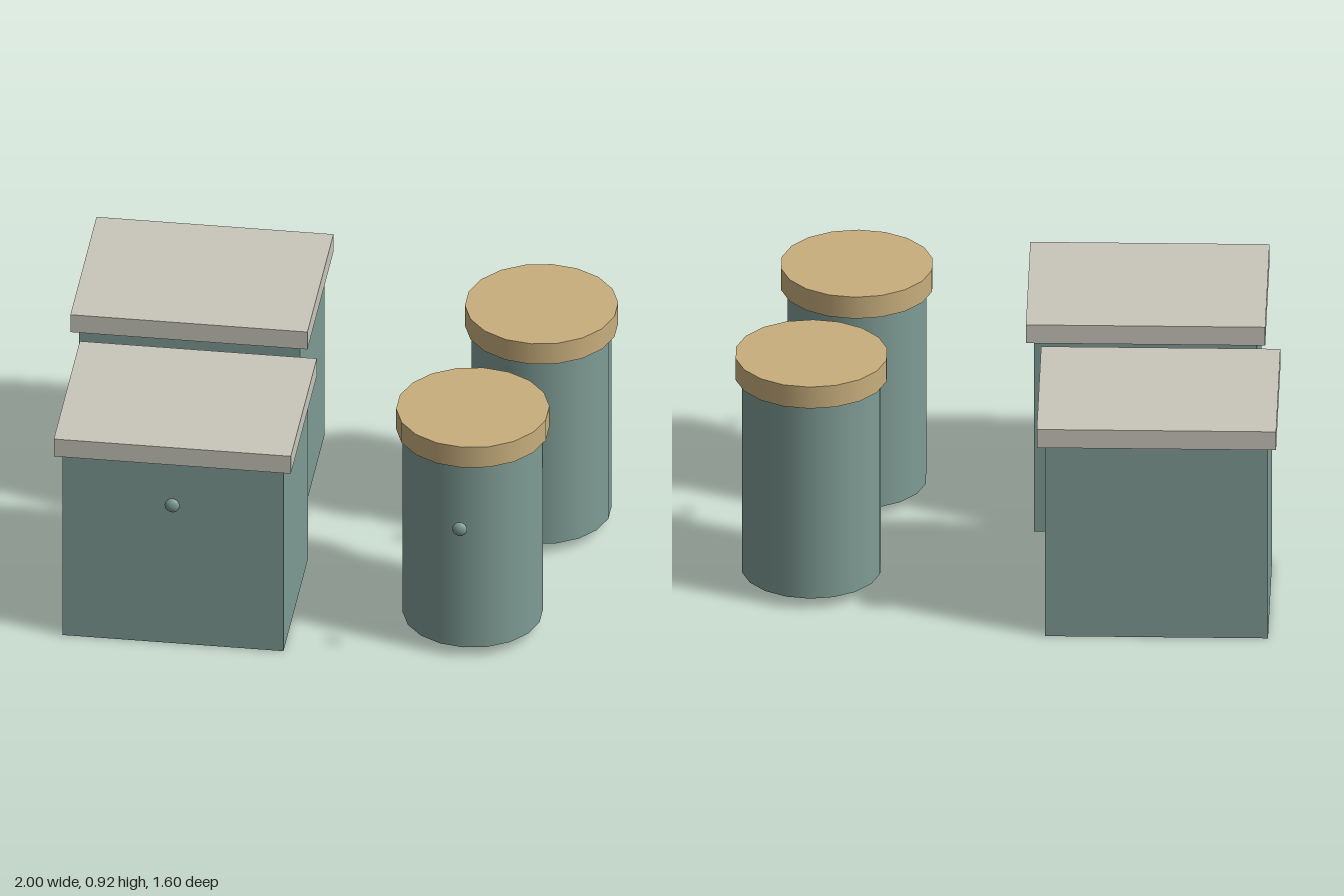
import * as THREE from 'three';

const material = (name, color) => {
  const m = new THREE.MeshStandardMaterial({ color });
  m.name = name;
  return m;
};

export function createModel() {
  const teal = material('greyTeal', 0x7f9c95);
  const stone = material('paleStone', 0xc9c7bb);
  const wood = material('lightWood', 0xc8ae7d);

  const model = new THREE.Group();
  model.name = 'canisterSet';

  const add = (parent, name, geometry, mat, y, z = 0) => {
    const mesh = new THREE.Mesh(geometry, mat);
    mesh.name = name;
    mesh.position.set(0, y, z);
    parent.add(mesh);
  };

  // Small flattened knob standing in front of each container
  const knob = new THREE.SphereGeometry(0.028, 12, 8).scale(1, 1, 0.6);

  const container = (name, x, z) => {
    const group = new THREE.Group();
    group.name = name;
    group.position.set(x, 0, z);
    add(group, 'knob', knob, teal, 0.608, 0.35);
    model.add(group);
    return group;
  };

  // Square bins with overhanging slab lids
  const binBody = new THREE.BoxGeometry(0.88 - 0.06, 0.78, 0.655);
  const binLid = new THREE.BoxGeometry(0.88, 0.075, 0.693);
  for (const [name, x, z] of [['frontBin', -0.5, 0.417], ['backBin', -0.56, -0.455]]) {
    const bin = container(name, x, z);
    add(bin, 'binBody', binBody, teal, 0.39);
    add(bin, 'binLid', binLid, stone, 0.8175);
  }

  // Round canisters with wooden lids
  const canBody = new THREE.CylinderGeometry(0.258, 0.258, 0.79, 18);
  const canLid = new THREE.CylinderGeometry(0.282, 0.282, 0.088, 18);
  for (const [name, x, z] of [['frontCanister', 0.57, 0.436], ['backCanister', 0.72, -0.318]]) {
    const can = container(name, x, z);
    add(can, 'canisterBody', canBody, teal, 0.437);
    add(can, 'canisterLid', canLid, wood, 0.876);
  }

  return model;
}
